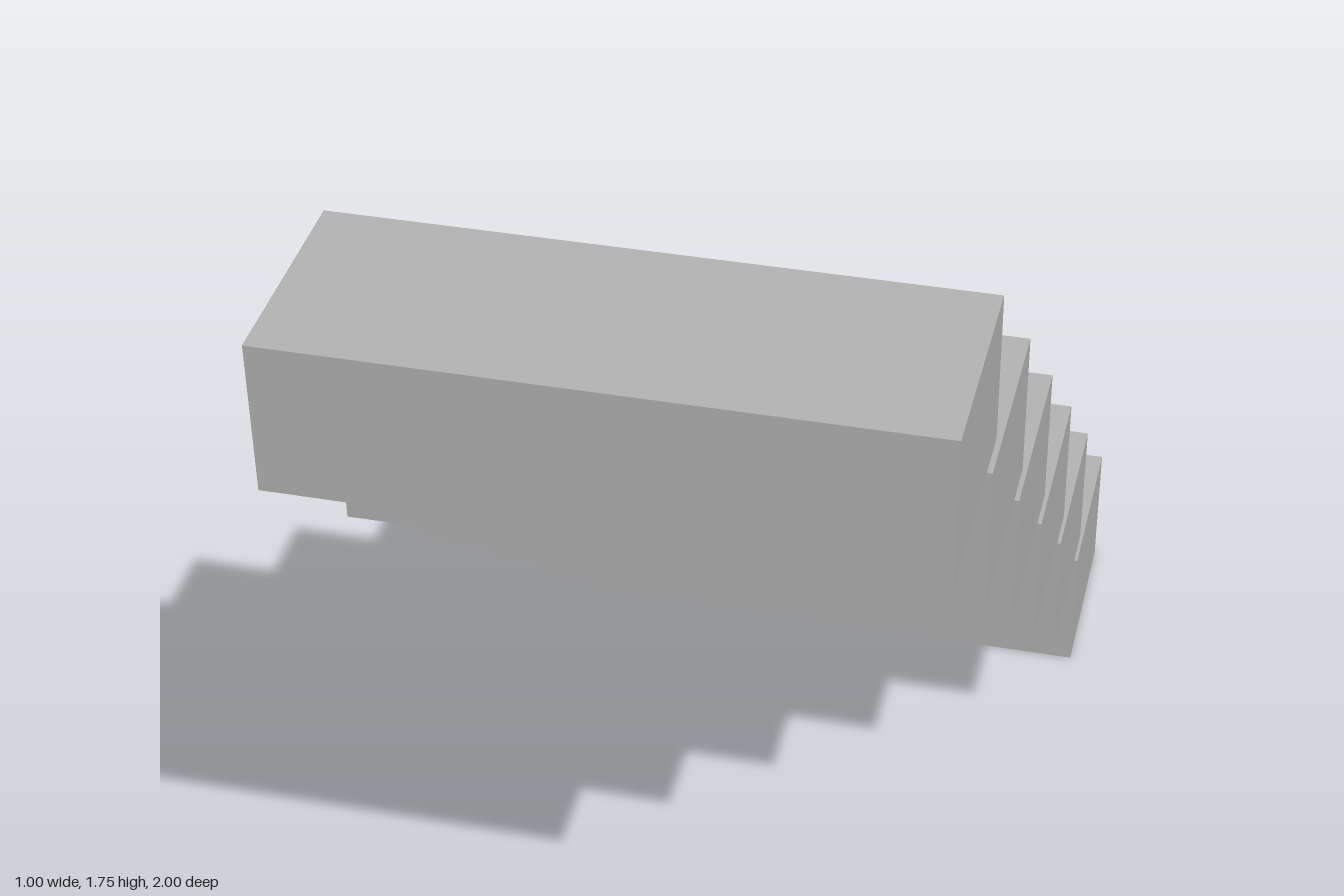
import * as THREE from 'three';

const STEPS = 6;
const WIDTH = 1.0, HEIGHT = 0.25, DEPTH = 0.35;
const RISE = 0.299, RUN = 0.33;

export function createModel() {
  const group = new THREE.Group();
  group.name = 'floatingStaircase';

  const stone = new THREE.MeshStandardMaterial({ color: 0xb4b4b4 });
  stone.name = 'light grey stone';

  // Floating block steps, rising from the back to the front
  const block = new THREE.BoxGeometry(WIDTH, HEIGHT, DEPTH);
  for (let i = 0; i < STEPS; i++) {
    const step = new THREE.Mesh(block, stone);
    step.name = `step${i + 1}`;
    step.position.set(0, HEIGHT / 2 + i * RISE, -1 + DEPTH / 2 + i * RUN);
    group.add(step);
  }
  return group;
}
